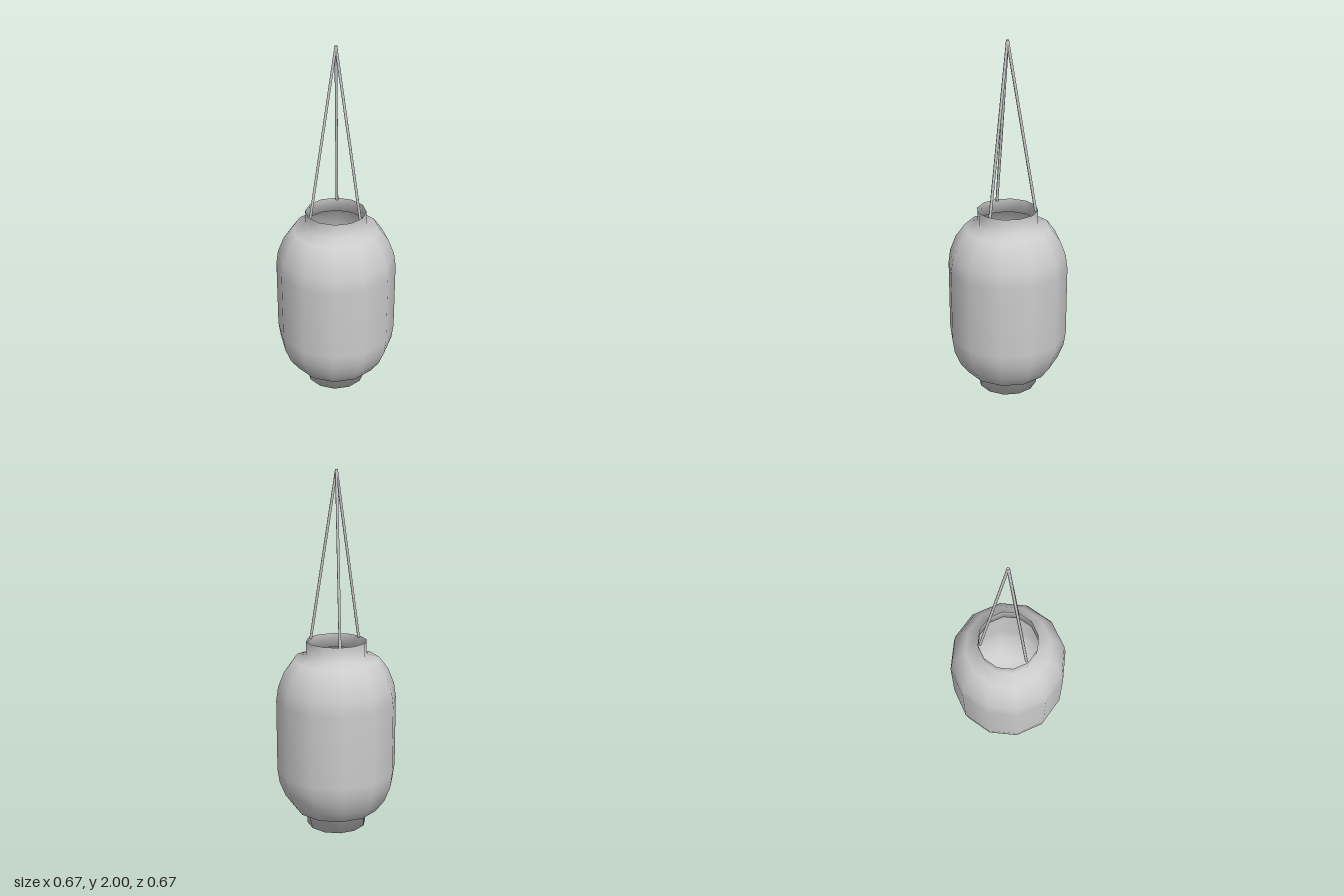
import * as THREE from 'three';

const SIDES = 12;
const HEIGHT = 1.075;

export function createModel() {
  const group = new THREE.Group();
  group.name = 'hangingLantern';
  const material = new THREE.MeshStandardMaterial({ color: 0xcccccc, side: THREE.DoubleSide });

  // Lantern shell: closed base, collar, rounded body and open upper collar
  const half = [[0.168, 0], [0.168, 0.08], [0.24, 0.102], [0.292, 0.173], [0.325, 0.257], [0.336, 0.335]];
  const mirrored = half.map(([r, y]) => [r, HEIGHT - y]).reverse();
  const profile = [[0, 0], ...half, ...mirrored].map(([r, y]) => new THREE.Vector2(r, y));
  const shell = new THREE.Mesh(new THREE.LatheGeometry(profile, SIDES), material);
  shell.name = 'lanternShell';
  group.add(shell);

  // Three cords from the upper rim to a common hanging point
  const apex = new THREE.Vector3(0, 1.998, 0);
  const up = new THREE.Vector3(0, 1, 0);
  for (let i = 0; i < 3; i++) {
    const angle = Math.PI + (i * Math.PI * 2) / 3;
    const foot = new THREE.Vector3(Math.sin(angle) * 0.155, HEIGHT - 0.005, Math.cos(angle) * 0.155);
    const span = apex.clone().sub(foot);
    const cord = new THREE.Mesh(new THREE.CylinderGeometry(0.008, 0.008, span.length(), 6), material);
    cord.name = 'cord' + (i + 1);
    cord.position.copy(foot).addScaledVector(span, 0.5);
    cord.quaternion.setFromUnitVectors(up, span.normalize());
    group.add(cord);
  }
  return group;
}
